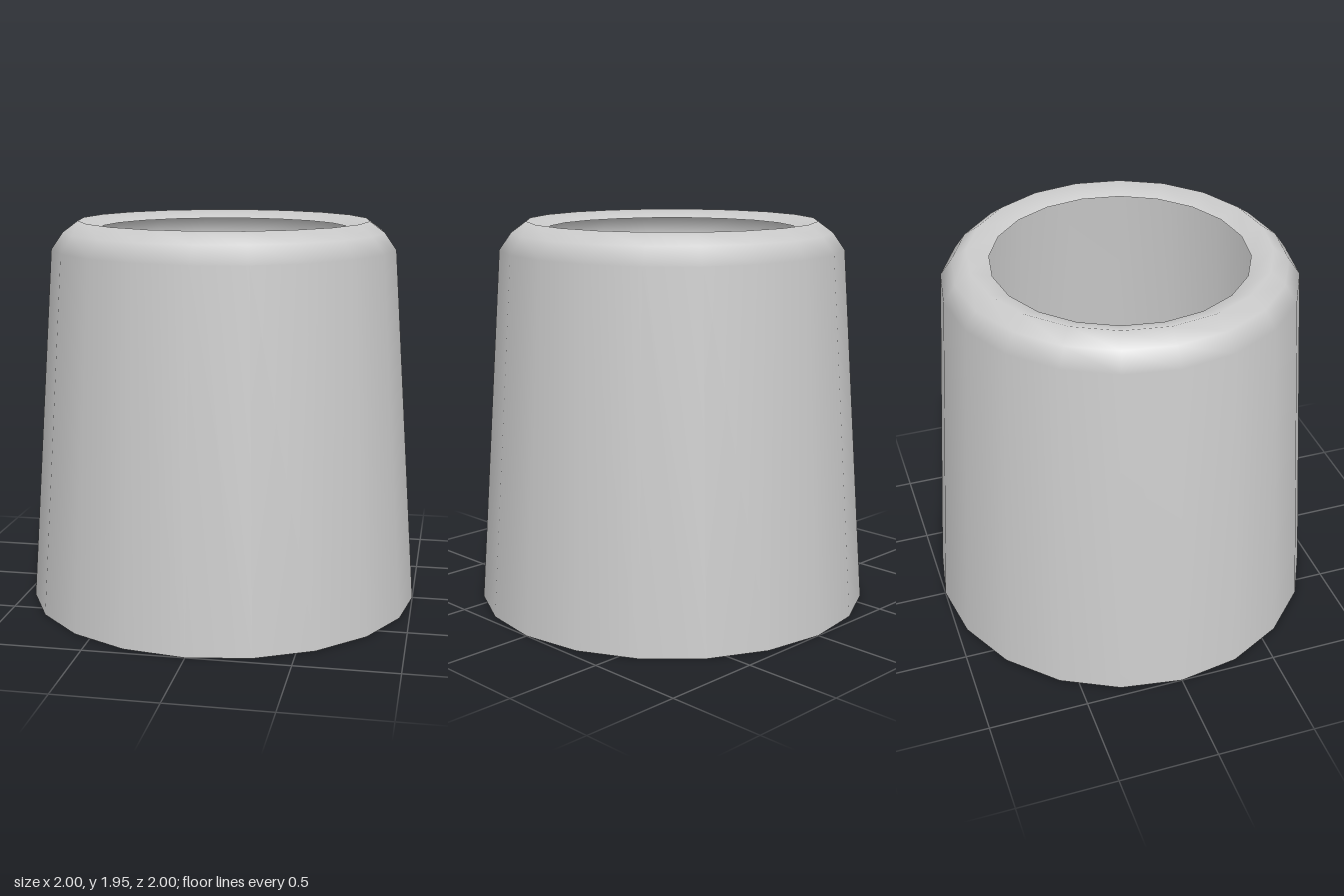
import * as THREE from 'three';

export function createModel() {
  const group = new THREE.Group();
  const material = new THREE.MeshStandardMaterial({ color: 0xcccccc, side: THREE.DoubleSide });

  // Tapered wall, rounded shoulder and a lip that dips into the opening
  const profile = [
    [1.0, 0],
    [0.87, 1.81],
    [0.81, 1.895],
    [0.735, 1.95],
    [0.63, 1.91],
  ].map(([r, y]) => new THREE.Vector2(r, y));

  // Open twenty-sided shell, smooth shaded
  const sleeve = new THREE.Mesh(new THREE.LatheGeometry(profile, 20), material);
  sleeve.name = 'taperedSleeve';
  group.add(sleeve);
  return group;
}
